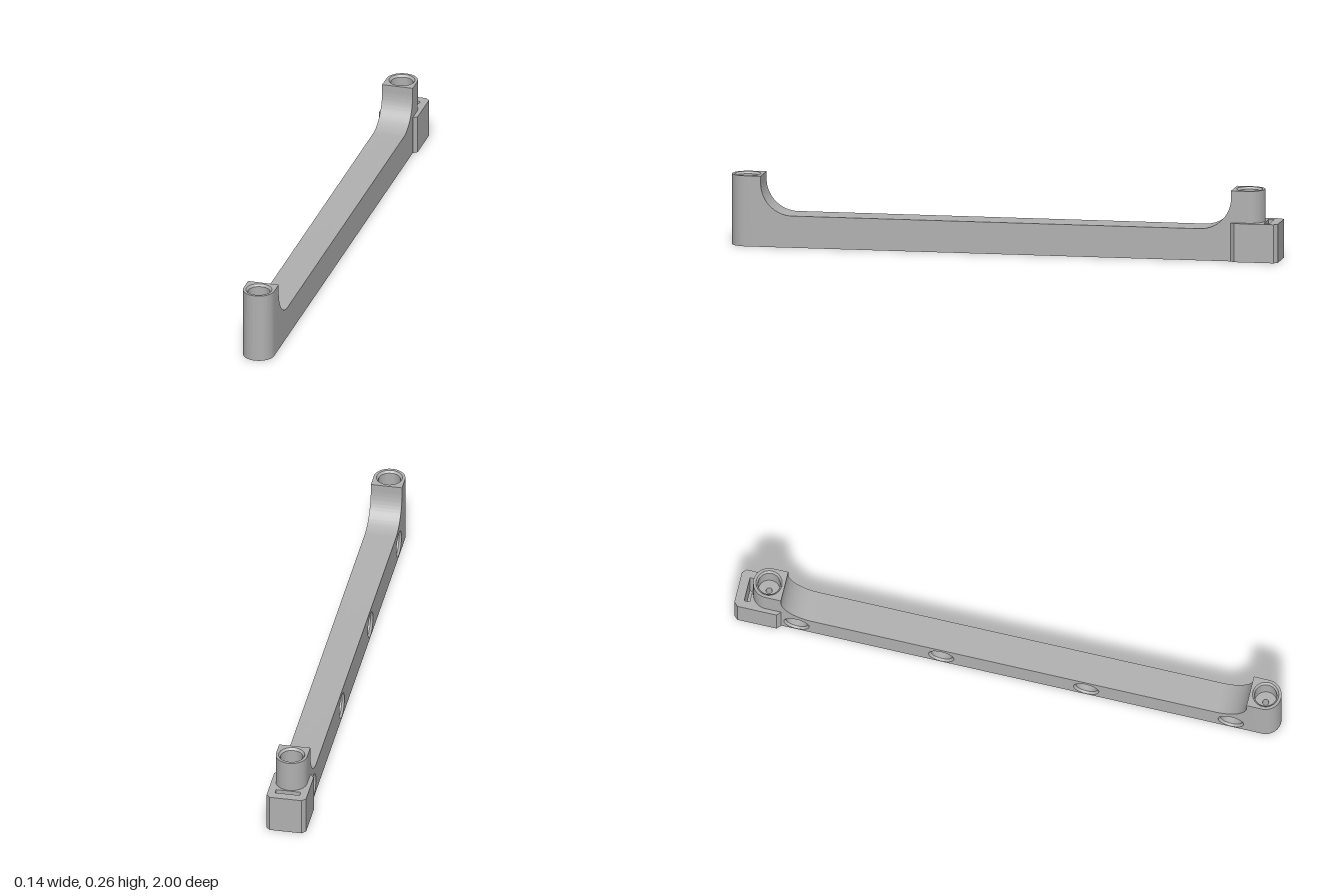
import * as THREE from 'three';
import { toCreasedNormals } from 'three/addons/utils/BufferGeometryUtils.js';

const R = 0.057;          // half width of the bar and posts
const H = 0.256;          // post height
const BAR = 0.115;        // bar height
const FILLET = 0.115;
const FRONT = 0.943, BACK = -0.886;   // post centres along z
const BORE = 0.047, BORE_IN = 0.04;   // countersunk rim and pocket radii

const gray = new THREE.MeshStandardMaterial({ color: 0xb0b0b0 });
gray.name = 'plain gray';

function add(group, name, geo) {
  const mesh = new THREE.Mesh(toCreasedNormals(geo, 0.5), gray);
  mesh.name = name;
  group.add(mesh);
  return mesh;
}

function circleHole(x, y, r) {
  return new THREE.Path().absarc(x, y, r, 0, Math.PI * 2, true);
}

function extrude(shape, depth) {
  return new THREE.ExtrudeGeometry(shape, { depth, bevelEnabled: false, curveSegments: 24 });
}

// Lathed lining whose faces look towards its axis
function lining(points) {
  return new THREE.LatheGeometry(points.map(([r, y]) => new THREE.Vector2(r, y)).reverse(), 40);
}

// Side outline of the bar with concave fillets rising to the posts
function barShape() {
  const z0 = BACK + R, z1 = FRONT - R, y = BAR + FILLET;
  const s = new THREE.Shape();
  s.moveTo(z0, 0);
  s.lineTo(z1, 0);
  s.absarc(z1 - FILLET, y, FILLET, 0, -Math.PI / 2, true);
  s.absarc(z0 + FILLET, y, FILLET, -Math.PI / 2, -Math.PI, true);
  return s;
}

// D-shaped plan of a post, bored along its axis
function postShape() {
  const s = new THREE.Shape();
  s.moveTo(-R, R);
  s.lineTo(-R, 0);
  s.absarc(0, 0, R, Math.PI, Math.PI * 2, false);
  s.lineTo(R, R);
  s.holes.push(circleHole(0, 0, BORE));
  return s;
}

export function createModel() {
  const model = new THREE.Group();
  model.name = 'handleBar';

  // Bar: solid layer on one side, pocketed layer on the other
  const split = 0.03, holeY = 0.052, mid = (FRONT + BACK) / 2;
  const holeZ = [-0.8, -0.267, 0.267, 0.8].map((d) => mid + d);
  add(model, 'barSolidSide', extrude(barShape(), R - split).rotateY(-Math.PI / 2).translate(R, 0, 0));
  const pocketed = barShape();
  holeZ.forEach((z) => pocketed.holes.push(circleHole(z, holeY, BORE)));
  add(model, 'barPocketSide', extrude(pocketed, R + split).rotateY(-Math.PI / 2).translate(split, 0, 0));

  // Blind countersunk pockets in the side
  for (const z of holeZ) {
    const depth = R + split;
    const cup = lining([[0, 0], [BORE_IN, 0], [BORE_IN, depth - 0.008], [BORE, depth]]);
    add(model, 'sidePocket', cup.rotateZ(Math.PI / 2).translate(split, holeY, z));
  }

  // Posts; the back one stands on the block
  const blockH = 0.14;
  add(model, 'frontPost', extrude(postShape(), H).rotateX(-Math.PI / 2).translate(0, 0, FRONT));
  add(model, 'backPost', extrude(postShape(), H - blockH).rotateX(-Math.PI / 2)
    .rotateY(Math.PI).translate(0, blockH, BACK));

  // Pockets at both ends of each post, joined by a narrow through hole
  const d = 0.08, pin = 0.011;
  for (const z of [FRONT, BACK]) {
    add(model, 'postBore', lining([
      [BORE, 0], [BORE_IN, 0.008], [BORE_IN, d], [pin, d],
      [pin, H - d], [BORE_IN, H - d], [BORE_IN, H - 0.008], [BORE, H],
    ]).translate(0, 0, z));
  }

  // Back block with chamfered corners, slot and bore (plan drawn as x, -z)
  const w = 0.072, v0 = 0.828, v1 = 1, c = 0.014;
  const plan = new THREE.Shape([
    [-w + c, v0], [w - c, v0], [w, v0 + c], [w, v1 - c],
    [w - c, v1], [-w + c, v1], [-w, v1 - c], [-w, v0 + c],
  ].map(([x, v]) => new THREE.Vector2(x, v)));
  plan.holes.push(circleHole(0, -BACK, BORE));
  plan.holes.push(new THREE.Path([
    [-0.045, 0.947], [-0.045, 0.967], [0.045, 0.967], [0.045, 0.947],
  ].map(([x, v]) => new THREE.Vector2(x, v))));
  add(model, 'backBlock', extrude(plan, blockH).rotateX(-Math.PI / 2));

  return model;
}
